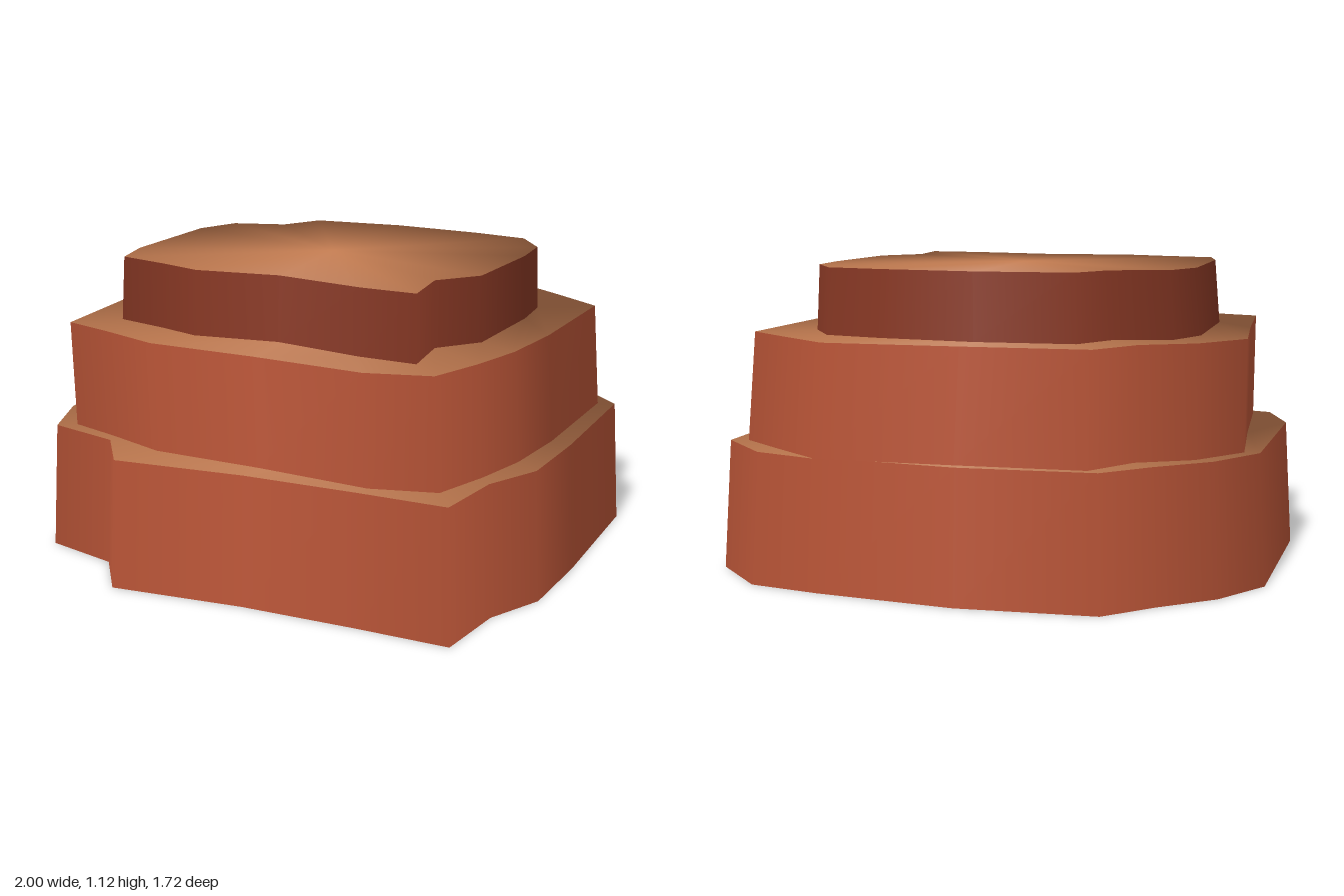
import * as THREE from 'three';

const flat = (color) => new THREE.MeshStandardMaterial({ color, side: THREE.DoubleSide });

// outlines as [x, z], starting at the back centre and running towards +x
const baseOutline = [
  [0.02, -0.86], [0.53, -0.82], [0.8, -0.78], [1, -0.59], [0.98, 0], [0.95, 0.33],
  [0.84, 0.53], [0.79, 0.8], [0.45, 0.8], [0.02, 0.81], [-0.48, 0.86], [-0.62, 0.67],
  [-0.91, 0.6], [-1, 0.36], [-0.97, -0.32], [-0.83, -0.52], [-0.64, -0.67], [-0.48, -0.82],
];
const middleOutline = [
  [0.02, -0.77], [0.51, -0.79], [0.7, -0.66], [0.88, -0.53], [0.85, 0], [0.81, 0.27],
  [0.75, 0.47], [0.67, 0.67], [0.44, 0.73], [0.02, 0.7], [-0.39, 0.69], [-0.62, 0.61],
  [-0.82, 0.55], [-0.85, 0.1], [-0.885, -0.29], [-0.74, -0.47], [-0.55, -0.57], [-0.43, -0.74],
];
const topOutline = [
  [0.02, -0.61], [0.37, -0.58], [0.58, -0.54], [0.68, -0.39], [0.69, -0.2], [0.66, 0.2],
  [0.54, 0.34], [0.56, 0.56], [0.35, 0.55], [0.02, 0.49], [-0.29, 0.53], [-0.45, 0.48],
  [-0.65, 0.43], [-0.69, 0.26], [-0.69, -0.21], [-0.62, -0.37], [-0.42, -0.43], [-0.33, -0.58],
];

// scaled and shifted copy of an outline at height y
const loop = (outline, y, s = 1, dx = 0, dz = 0) =>
  outline.map(([x, z]) => new THREE.Vector3(x * s + dx, y, z * s + dz));

// surface between two loops, with rounded normals leaning upwards by tilt
function band(lower, upper, tilt) {
  const n = lower.length;
  const position = [], normal = [], index = [];
  for (const p of [...lower, ...upper]) {
    const r = Math.hypot(p.x, p.z);
    const v = r < 0.001
      ? new THREE.Vector3(0, 1, 0)
      : new THREE.Vector3(p.x / r, tilt, p.z / r).normalize();
    position.push(p.x, p.y, p.z);
    normal.push(v.x, v.y, v.z);
  }
  for (let i = 0; i < n; i++) {
    const j = (i + 1) % n;
    index.push(i, n + i, j, j, n + i, n + j);
  }
  const geometry = new THREE.BufferGeometry();
  geometry.setAttribute('position', new THREE.Float32BufferAttribute(position, 3));
  geometry.setAttribute('normal', new THREE.Float32BufferAttribute(normal, 3));
  geometry.setIndex(index);
  return geometry;
}

export function createModel() {
  const redRock = flat(0xbc5638);
  redRock.name = 'redRock';
  const darkRock = flat(0x8a3925);
  darkRock.name = 'darkRock';
  const sandyRock = flat(0xc98054);
  sandyRock.name = 'sandyRock';

  const baseLow = loop(baseOutline, 0);
  const baseHigh = loop(baseOutline, 0.48, 0.97);
  const middleLow = loop(middleOutline, 0.48, 1.015, 0.013, -0.017);
  const middleHigh = loop(middleOutline, 0.88);
  const topLow = loop(topOutline, 0.88, 1.02, -0.008, -0.012);
  const topHigh = loop(topOutline, 1.12);
  const centre = loop(topOutline, 1.12, 0);

  // hollow stack of cliffs and ledges, open underneath
  const parts = [
    ['baseCliff', baseLow, baseHigh, redRock, 0.05],
    ['lowerLedge', baseHigh, middleLow, sandyRock, 0.2],
    ['middleCliff', middleLow, middleHigh, redRock, 0.05],
    ['upperLedge', middleHigh, topLow, sandyRock, 0.2],
    ['topCliff', topLow, topHigh, darkRock, 0.05],
    ['plateau', topHigh, centre, sandyRock, 0.2],
  ];
  const group = new THREE.Group();
  group.name = 'mesa';
  for (const [name, lower, upper, material, tilt] of parts) {
    const mesh = new THREE.Mesh(band(lower, upper, tilt), material);
    mesh.name = name;
    group.add(mesh);
  }
  return group;
}
